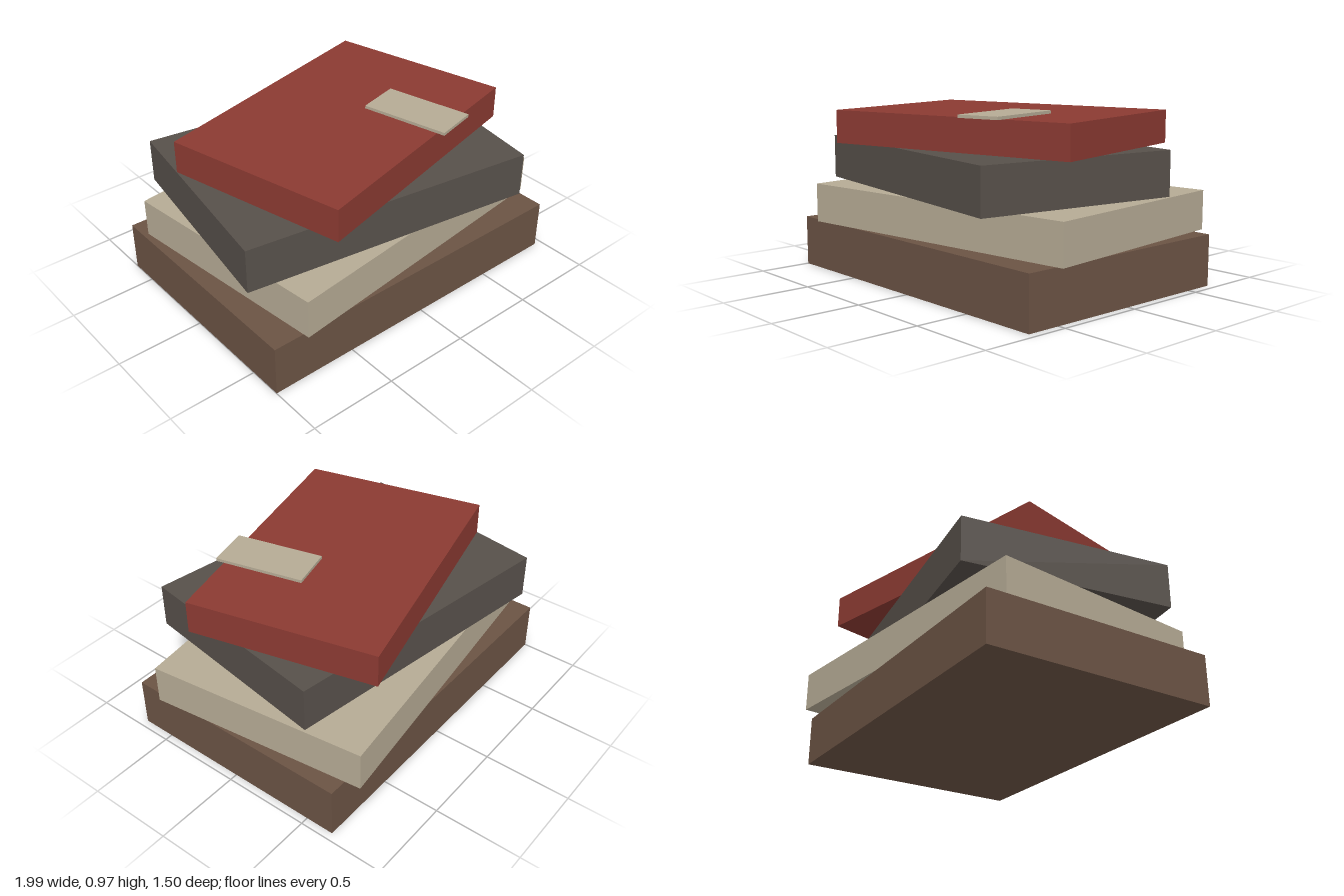
import * as THREE from 'three';

// A stack of four closed books, each turned a little, with a label on the top one.
// size: [width, depth], centre: [x, z], y: [bottom, top], turn in radians about y
const LAYERS = [
  { name: 'bottomBook', size: [1.955, 1.36], centre: [-0.022, 0.015], y: [0, 0.29], turn: 0, color: 0x6b5344 },
  { name: 'paleBook', size: [1.823, 1.274], centre: [0.012, -0.012], y: [0.29, 0.514], turn: 0.121, color: 0xb5aa94 },
  { name: 'darkBook', size: [1.697, 1.19], centre: [-0.066, 0.03], y: [0.514, 0.768], turn: -0.157, color: 0x57504a },
  { name: 'redBook', size: [1.528, 1.063], centre: [0.002, 0.014], y: [0.768, 0.955], turn: 0.243, color: 0x8b3a32 },
  { name: 'coverLabel', size: [0.25, 0.508], centre: [0.318, 0.268], y: [0.955, 0.972], turn: 0.243, color: 0xb5aa94 },
];

function makeLayer({ name, size: [w, d], centre: [x, z], y: [bottom, top], turn, color }) {
  const mesh = new THREE.Mesh(
    new THREE.BoxGeometry(w, top - bottom, d),
    new THREE.MeshStandardMaterial({ color })
  );
  mesh.name = name;
  mesh.position.set(x, (bottom + top) / 2, z);
  mesh.rotation.y = turn;
  return mesh;
}

export function createModel() {
  const group = new THREE.Group();
  group.name = 'bookStack';
  for (const layer of LAYERS) group.add(makeLayer(layer));
  return group;
}
